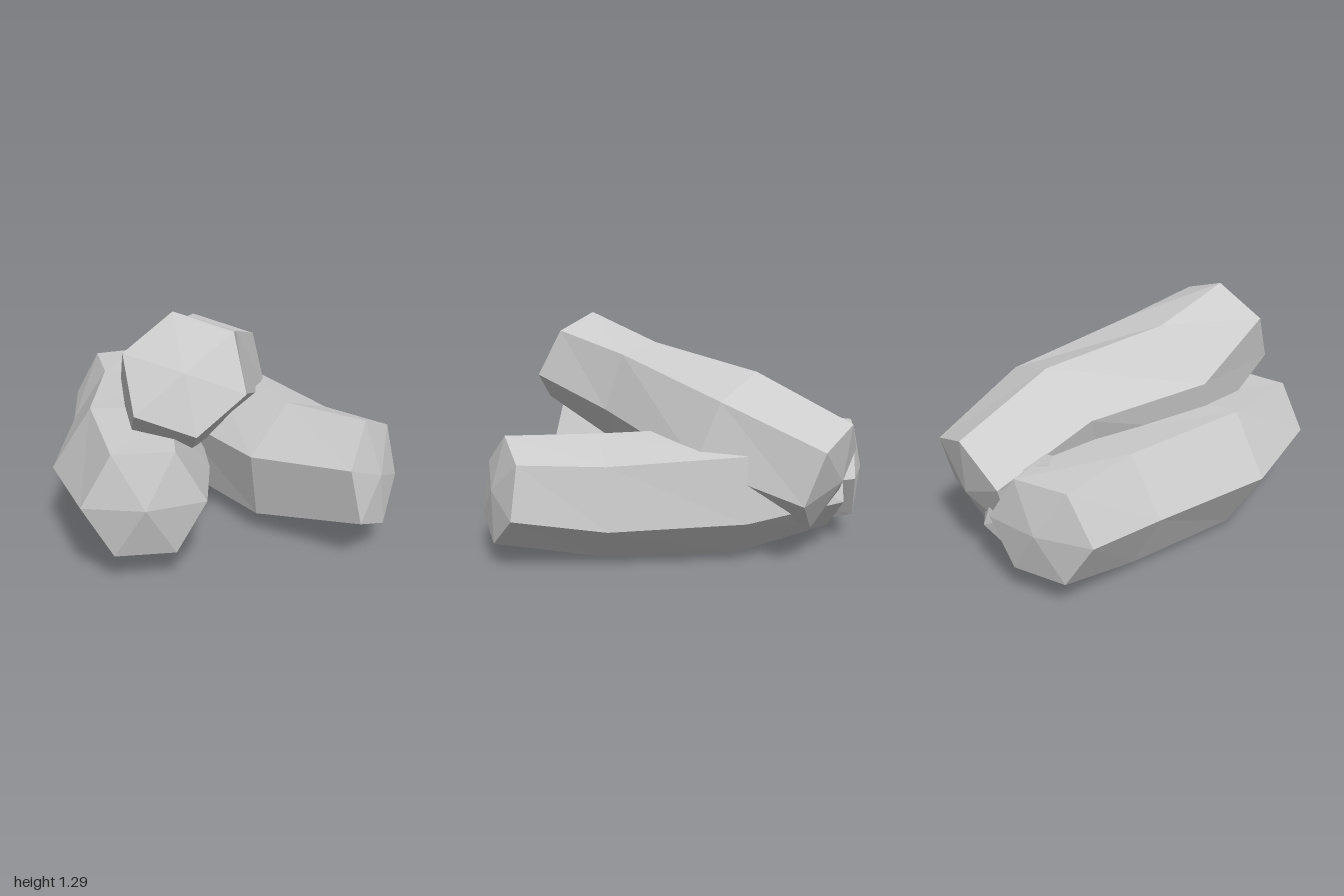
import * as THREE from 'three';

const material = new THREE.MeshStandardMaterial({ color: 0xcccccc, flatShading: true });

// Each ring is a hexagon: its centre and the offsets of two neighbouring corners.
const leftLog = {
  front: [-0.485, 0.43, 1], back: [-0.49, 0.43, -0.97],
  rings: [
    [[-0.485, 0.432, 0.93], [-0.15, 0.265, 0], [0.15, 0.26, 0]],
    [[-0.5, 0.375, 0.34], [-0.21, 0.35, 0], [0.21, 0.33, 0.02]],
    [[-0.42, 0.37, -0.4], [-0.18, 0.33, 0], [0.2, 0.3, 0]],
    [[-0.48, 0.43, -0.92], [-0.15, 0.25, 0.04], [0.14, 0.25, -0.03]],
  ],
};
const topLog = {
  front: [-0.28, 1.05, 0.86], back: [0.03, 0.47, -0.96],
  rings: [
    [[-0.275, 1.035, 0.825], [-0.035, 0.267, -0.14], [0.245, 0.175, -0.065]],
    [[-0.22, 0.82, 0.34], [-0.03, 0.32, -0.1], [0.29, 0.28, -0.03]],
    [[0.01, 0.69, -0.33], [-0.06, 0.335, -0.12], [0.295, 0.22, -0.03]],
    [[0.03, 0.49, -0.9], [-0.03, 0.29, -0.1], [0.25, 0.19, -0.02]],
  ],
};
const slantedLog = {
  front: [0.74, 0.43, 0.78], back: [-0.32, 0.42, -0.85],
  rings: [
    [[0.715, 0.43, 0.745], [-0.19, 0.1, 0.185], [-0.06, 0.285, -0.01]],
    [[0.39, 0.355, 0.32], [-0.275, 0.105, 0.19], [-0.04, 0.34, 0.02]],
    [[0.08, 0.37, -0.36], [-0.28, 0.09, 0.17], [-0.03, 0.355, 0.02]],
    [[-0.28, 0.42, -0.8], [-0.19, 0.1, 0.15], [-0.08, 0.28, 0.04]],
  ],
};

// The six corners of a ring, clockwise as seen from the front
function hexagon([c, a, b]) {
  const centre = new THREE.Vector3(...c);
  const e0 = new THREE.Vector3(...a);
  const e1 = new THREE.Vector3(...b);
  const e2 = e1.clone().sub(e0);
  const half = [e0, e1, e2];
  return [
    ...half.map((e) => centre.clone().add(e)),
    ...half.map((e) => centre.clone().sub(e)),
  ];
}

function makeLog(name, { front, back, rings }) {
  const points = [...rings.flatMap(hexagon), new THREE.Vector3(...front), new THREE.Vector3(...back)];
  const last = (rings.length - 1) * 6;
  const frontTip = rings.length * 6;
  const backTip = frontTip + 1;
  const index = [];
  for (let i = 0; i < 6; i++) {
    const j = (i + 1) % 6;
    // Bark faces between neighbouring rings
    for (let r = 0; r < last; r += 6) {
      index.push(r + i, r + j, r + 6 + j, r + i, r + 6 + j, r + 6 + i);
    }
    // Slightly pointed cut ends
    index.push(frontTip, j, i, backTip, last + i, last + j);
  }
  const indexed = new THREE.BufferGeometry().setFromPoints(points);
  indexed.setIndex(index);
  const geometry = indexed.toNonIndexed();
  geometry.computeVertexNormals();
  const mesh = new THREE.Mesh(geometry, material);
  mesh.name = name;
  return mesh;
}

export function createModel() {
  const group = new THREE.Group();
  group.name = 'logPile';
  group.add(
    makeLog('straightLog', leftLog),
    makeLog('topLog', topLog),
    makeLog('slantedLog', slantedLog),
  );
  return group;
}
